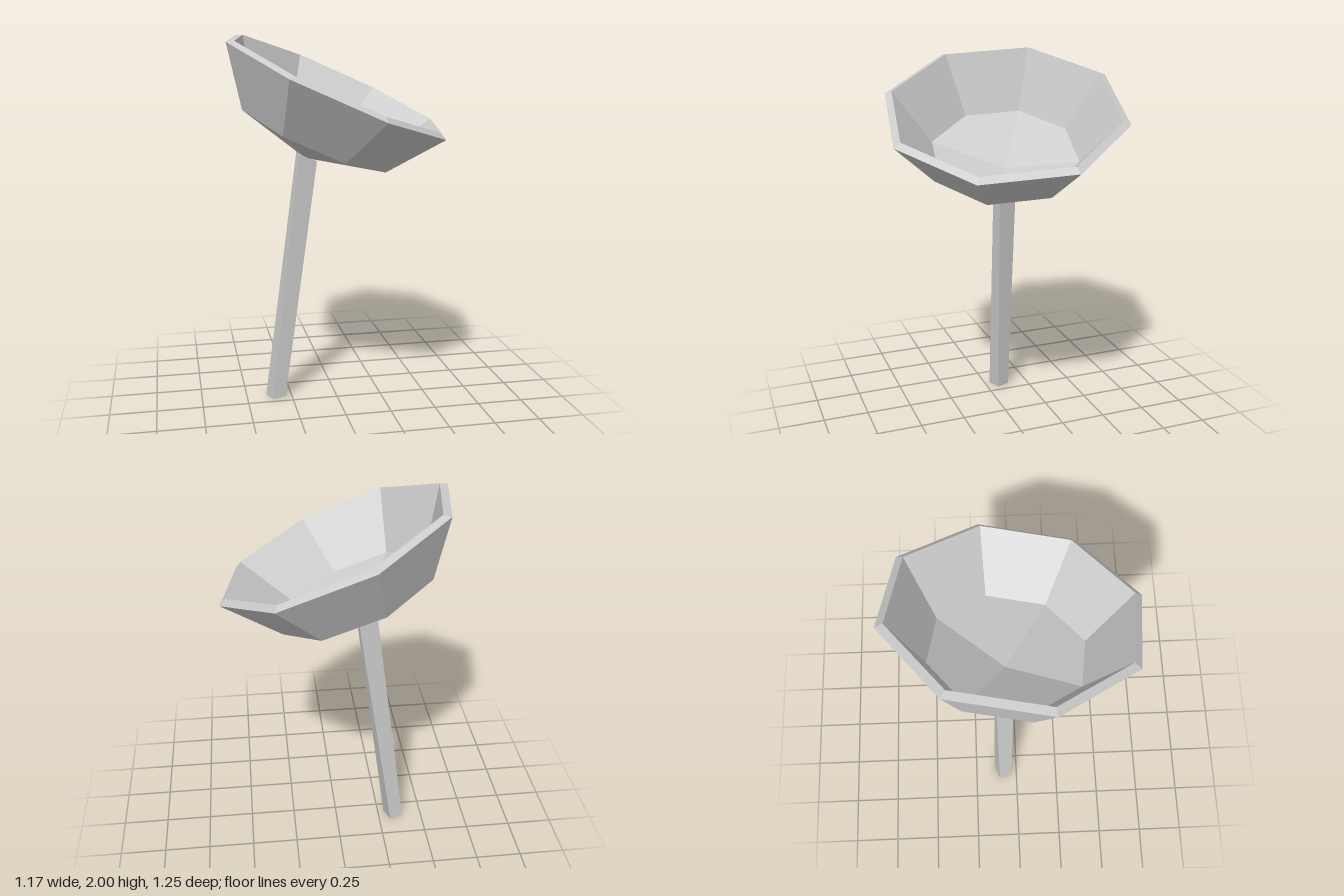
import * as THREE from 'three';

const V = (x, y, z) => new THREE.Vector3(x, y, z);

// Flat four-cornered facets, one shared normal each
function facetMesh(name, quads) {
  const pos = [], nor = [];
  for (const [a, b, c, d] of quads) {
    const n = c.clone().sub(a).cross(d.clone().sub(b)).normalize();
    for (const p of [a, b, c, a, c, d]) {
      pos.push(p.x, p.y, p.z);
      nor.push(n.x, n.y, n.z);
    }
  }
  const geo = new THREE.BufferGeometry();
  geo.setAttribute('position', new THREE.Float32BufferAttribute(pos, 3));
  geo.setAttribute('normal', new THREE.Float32BufferAttribute(nor, 3));
  const mesh = new THREE.Mesh(geo, new THREE.MeshStandardMaterial({ color: 0xcccccc }));
  mesh.name = name;
  return mesh;
}

// Side facets between two loops running counterclockwise, lower loop first
function band(a, b) {
  return a.map((p, i) => {
    const j = (i + 1) % a.length;
    return [p, a[j], b[j], b[i]];
  });
}

function createBowl() {
  // Tilted axis and an in-plane basis for the octagonal rings
  const centre = V(0, 1.74, 0);
  const axis = V(0.389, 0.912, 0.129).normalize();
  const u = V(0.186, -0.2, 0.96).projectOnPlane(axis).normalize();
  const w = axis.clone().cross(u);
  const along = (h) => centre.clone().addScaledVector(axis, h);
  const ring = (h, r) => Array.from({ length: 8 }, (_, k) => {
    const t = (k * Math.PI) / 4;
    return along(h).addScaledVector(u, r * Math.cos(t)).addScaledVector(w, r * Math.sin(t));
  });

  // Outer wall, rim and inner wall
  const rings = [ring(-0.29, 0.435), ring(0, 0.649), ring(0.02, 0.61), ring(-0.27, 0.404)];
  const quads = [];
  for (let i = 0; i < 3; i++) quads.push(...band(rings[i], rings[i + 1]));

  // Shallow pointed underside and floor, four facets each
  const under = along(-0.42), floor = along(-0.38);
  const [outer, inner] = [rings[0], rings[3]];
  for (let k = 1; k < 8; k += 2) {
    const [i, j] = [k + 1, (k + 2) % 8].map((n) => n % 8);
    quads.push([under, outer[j], outer[i], outer[k]]);
    quads.push([floor, inner[k], inner[i], inner[j]]);
  }
  return facetMesh('bowl', quads);
}

function createStem() {
  // Square section, slightly twisted; its top follows the slope of the bowl
  const section = (cx, cz, dx, dz, y) =>
    [[dx, dz], [dz, -dx], [-dx, -dz], [-dz, dx]].map(([x, z]) => V(cx + x, y(x, z), cz + z));
  const bottom = section(-0.3375, -0.0825, -0.0225, 0.0525, () => 0);
  const top = section(-0.155, -0.055, -0.046, 0.048, (x, z) => 1.37 - 0.427 * x - 0.141 * z);
  return facetMesh('stem', [...band(bottom, top), [...bottom].reverse(), top]);
}

export function createModel() {
  const model = new THREE.Group();
  model.name = 'tiltedBowlOnStem';
  model.add(createBowl(), createStem());
  return model;
}
